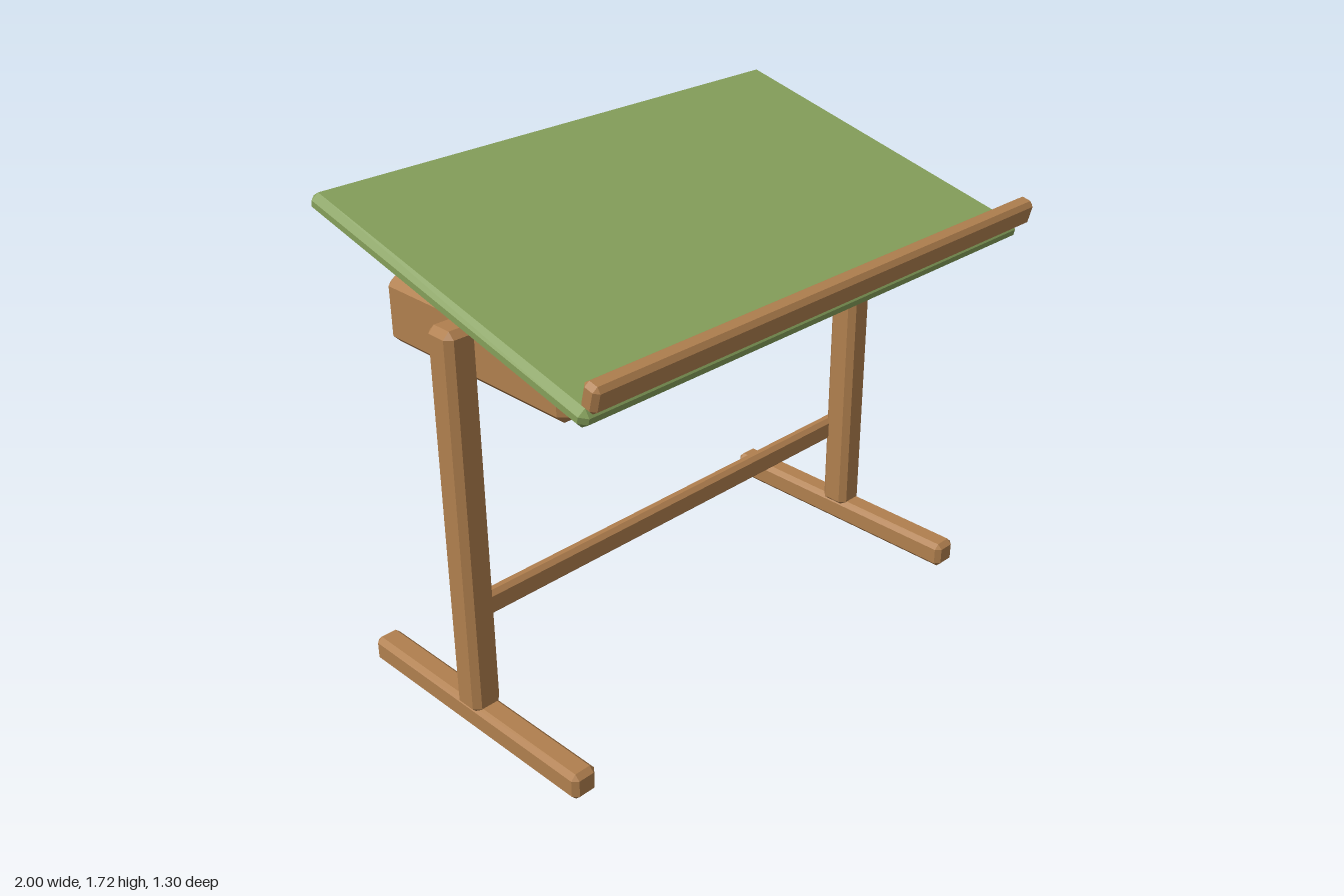
import * as THREE from 'three';
import { ConvexGeometry } from 'three/addons/geometries/ConvexGeometry.js';

const wood = new THREE.MeshStandardMaterial({ color: 0xb07f4e });
const green = new THREE.MeshStandardMaterial({ color: 0x859f5a });
const brass = new THREE.MeshStandardMaterial({ color: 0xc09530, flatShading: true });

// Box with a single flat bevel of size c along every edge
function bevelBox(w, h, d, c) {
  const points = [];
  for (const sx of [-1, 1]) for (const sy of [-1, 1]) for (const sz of [-1, 1]) {
    const x = w / 2, y = h / 2, z = d / 2;
    points.push(
      new THREE.Vector3(sx * x, sy * (y - c), sz * (z - c)),
      new THREE.Vector3(sx * (x - c), sy * y, sz * (z - c)),
      new THREE.Vector3(sx * (x - c), sy * (y - c), sz * z));
  }
  return new ConvexGeometry(points);
}

export function createModel() {
  const group = new THREE.Group();

  function add(name, geometry, material, x, y, z, tilt = 0) {
    const mesh = new THREE.Mesh(geometry, material);
    mesh.name = name;
    mesh.position.set(x, y, z);
    mesh.rotation.x = tilt;
    group.add(mesh);
    return mesh;
  }

  // Two T-shaped trestles: a floor runner and an upright post on each side
  for (const [side, s] of [['left', 1], ['right', -1]]) {
    add(side + 'Foot', bevelBox(0.095, 0.096, 1.056, 0.018), wood, s * 0.927, 0.048, -0.066);
    add(side + 'Post', bevelBox(0.11, 1.372, 0.114, 0.022), wood, s * 0.927, 0.759, -0.067);
  }

  // Stretcher set into the back of the posts
  add('stretcher', bevelBox(1.89, 0.09, 0.05, 0.015), wood, 0, 0.397, -0.125);

  // Storage case with a drawer front and knob
  add('drawerCase', bevelBox(1.65, 0.228, 0.85, 0.028), wood, 0, 1.314, -0.125);
  add('drawerFront', bevelBox(0.57, 0.15, 0.054, 0.018), wood, 0.382, 1.313, 0.325);
  add('drawerKnob', new THREE.SphereGeometry(0.04, 8, 6), brass, 0.382, 1.311, 0.38);

  // Sloping board with the pencil ledge along its lower edge
  const slope = THREE.MathUtils.degToRad(14);
  add('drawingBoard', bevelBox(2, 0.065, 1.276, 0.022), green, 0, 1.543, -0.03, slope);
  add('pencilLedge', bevelBox(2, 0.09, 0.062, 0.015), wood, 0, 1.472, 0.609, slope);

  return group;
}
